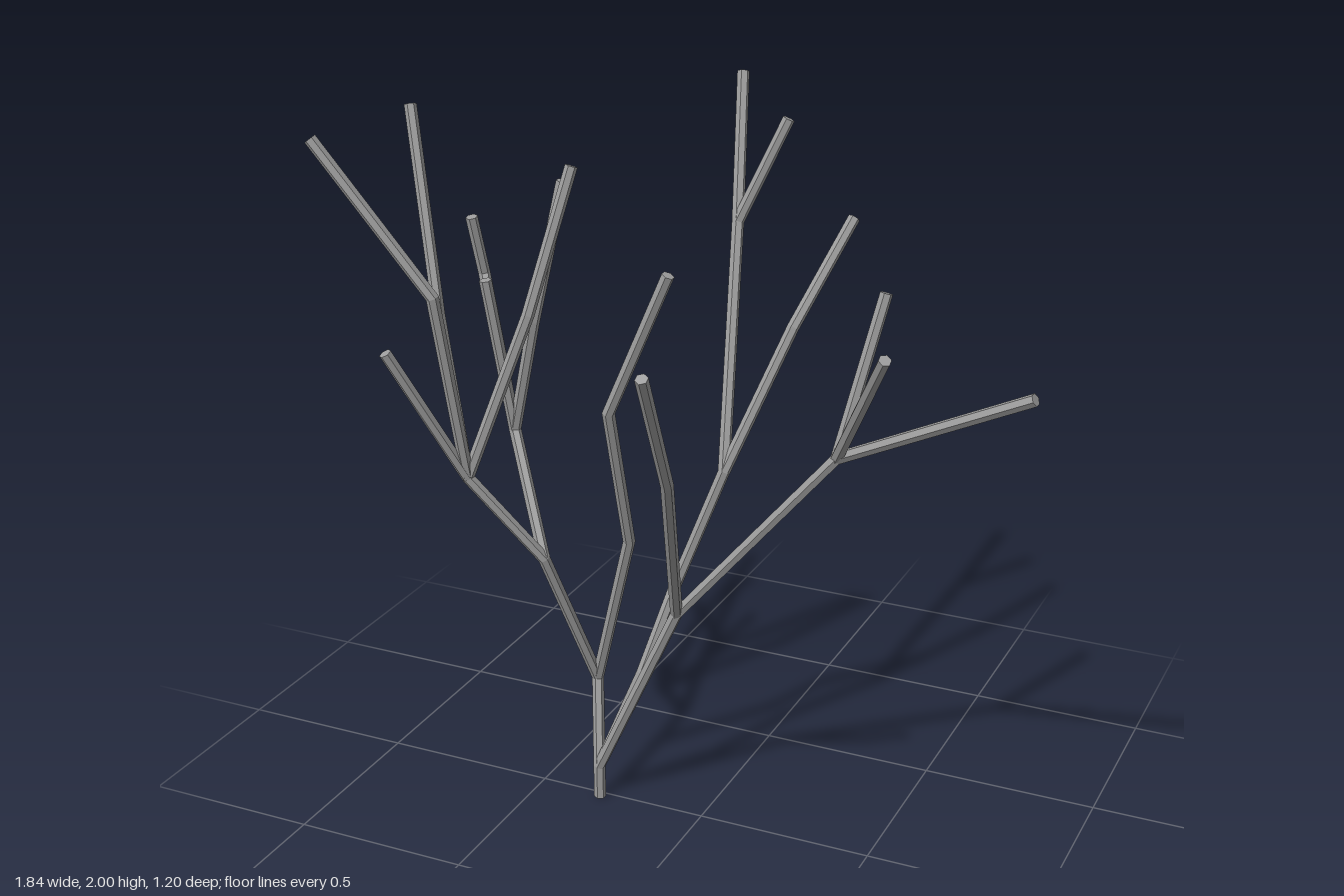
import * as THREE from 'three';

const SIDES = 6;
const RADIUS = 0.017;
const bark = new THREE.MeshStandardMaterial({ color: 0x9c9c9c });
bark.name = 'grey bark';

// Mitred prism that follows a polyline, with flat caps at both ends
function branchGeometry(path) {
  const pts = path.map((p) => new THREE.Vector3(...p));
  const dirs = pts.slice(1).map((p, i) => p.clone().sub(pts[i]).normalize());
  const side = new THREE.Vector3(1, 0, 0).projectOnPlane(dirs[0]).normalize();
  const other = dirs[0].clone().cross(side);

  // First ring is square to the path; later rings slide along onto each joint plane
  let ring = [];
  for (let k = 0; k < SIDES; k++) {
    const a = ((k + 0.5) / SIDES) * Math.PI * 2;
    ring.push(pts[0].clone()
      .addScaledVector(side, Math.cos(a) * RADIUS)
      .addScaledVector(other, Math.sin(a) * RADIUS));
  }
  const rings = [ring];
  dirs.forEach((d, i) => {
    const n = d.clone().add(dirs[i + 1] ?? d).normalize();
    ring = ring.map((v) => v.clone().addScaledVector(d, pts[i + 1].clone().sub(v).dot(n) / d.dot(n)));
    rings.push(ring);
  });

  const pos = [];
  const tri = (...corners) => corners.forEach((v) => pos.push(v.x, v.y, v.z));
  const last = rings.length - 1;
  for (let k = 0; k < SIDES; k++) {
    const m = (k + 1) % SIDES;
    for (let i = 0; i < last; i++) {
      tri(rings[i][k], rings[i][m], rings[i + 1][m]);
      tri(rings[i][k], rings[i + 1][m], rings[i + 1][k]);
    }
    tri(pts[0], rings[0][m], rings[0][k]);
    tri(pts[last], rings[last][k], rings[last][m]);
  }
  const g = new THREE.BufferGeometry();
  g.setAttribute('position', new THREE.Float32BufferAttribute(pos, 3));
  g.computeVertexNormals(); // unshared corners keep the facets flat
  return g;
}

export function createModel() {
  const tree = new THREE.Group();
  tree.name = 'bareTree';

  // Forks shared by several branches
  const root = [-0.31, 0.1, 0.02];
  const lowFork = [-0.35, 0.34, -0.06];
  const leftFork = [-0.43, 0.76, 0.09];
  const frontFork = [-0.6, 1.01, 0.19];
  const backFork = [-0.58, 1.07, -0.04];
  const midFork = [-0.06, 0.64, 0.03];
  const sideFork = [0.38, 1.16, 0];
  const rearFork = [0, 1.0, -0.15];
  const highFork = [-0.08, 1.62, -0.42];

  const branches = {
    trunk: [[-0.31, 0, 0.02], root, lowFork, leftFork, frontFork],
    innerBranch: [lowFork, [-0.21, 0.82, 0.01], [-0.2, 1.24, 0.14], [-0.02, 1.64, 0.155]],
    // crown on the -x side
    frontTallTwig: [frontFork, [-0.62, 1.54, 0.29], [-0.91, 1.94, 0.36]],
    frontShortTwig: [frontFork, [-0.74, 1.39, 0.34]],
    outerTallTwig: [frontFork, [-0.75, 1.4, 0.05], [-0.88, 1.94, -0.07]],
    innerTallTwig: [frontFork, [-0.45, 1.46, 0.1], [-0.37, 1.84, -0.01]],
    backBranch: [leftFork, backFork, [-0.75, 1.45, -0.2], [-0.76, 1.62, -0.16]],
    backInnerTwig: [backFork, [-0.5, 1.4, -0.02], [-0.41, 1.79, -0.035]],
    backShortTwig: [backFork, [-0.62, 1.51, 0.02]],
    // crown on the +x side
    sideBranch: [root, midFork, sideFork, [0.91, 1.43, 0.08]],
    sideBackTwig: [sideFork, [0.46, 1.58, -0.11]],
    sideFrontTwig: [sideFork, [0.58, 1.53, 0.23]],
    forwardBranch: [midFork, [0.07, 1.17, 0.36], [0.11, 1.53, 0.58]],
    // crown at the rear
    rearBranch: [root, [-0.18, 0.42, 0], [-0.12, 0.66, -0.09], rearFork, highFork, [-0.14, 1.99, -0.59]],
    rearHighTwig: [highFork, [0.04, 1.9, -0.48]],
    rearOuterTwig: [rearFork, [0.13, 1.38, -0.31], [0.22, 1.64, -0.515]],
  };

  for (const [name, path] of Object.entries(branches)) {
    const mesh = new THREE.Mesh(branchGeometry(path), bark);
    mesh.name = name;
    tree.add(mesh);
  }
  return tree;
}
